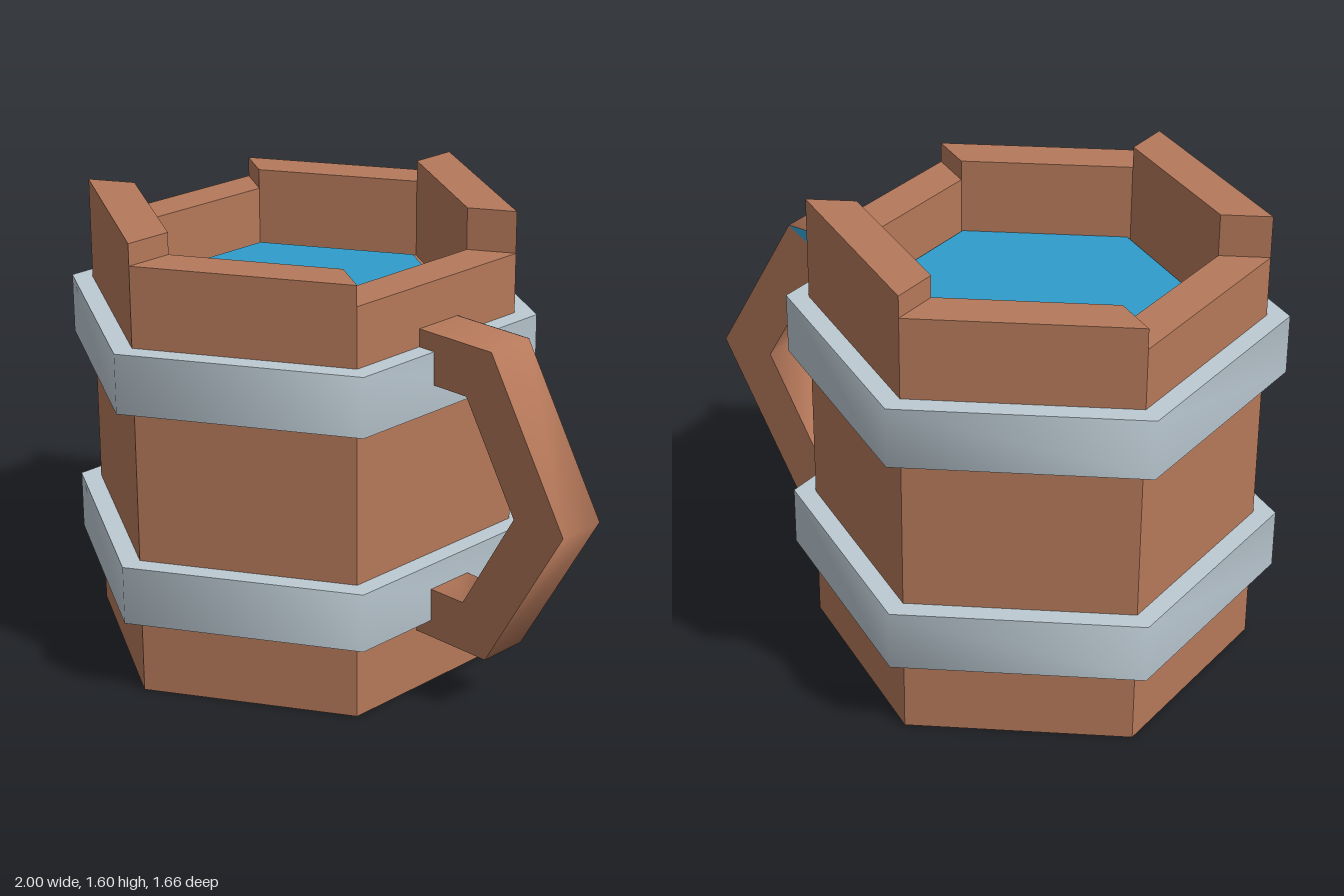
import * as THREE from 'three';
import { toCreasedNormals } from 'three/addons/utils/BufferGeometryUtils.js';

const CX = -0.28; // mug axis
const material = (color) => new THREE.MeshStandardMaterial({ color });
const wood = material(0xb5785a);
const steel = material(0xbccad3);
const water = material(0x2f9ccb);

// corner i of a hexagon in plan, as (x, -z) for upward extrusion
const corner = (r, i) => {
  const a = Math.PI / 6 + (i * Math.PI) / 3;
  return new THREE.Vector2(r * Math.cos(a), r * Math.sin(a));
};
const hexagon = (r) => [0, 1, 2, 3, 4, 5].map((i) => corner(r, i));

// extrude a plan outline upwards from y0 to y1, around the mug axis
function prism(name, shape, y0, y1, mat, crease = 0.1) {
  let geo = new THREE.ExtrudeGeometry(shape, { depth: y1 - y0, bevelEnabled: false });
  geo.rotateX(-Math.PI / 2);
  geo.translate(CX, y0, 0);
  geo = toCreasedNormals(geo, crease);
  const mesh = new THREE.Mesh(geo, mat);
  mesh.name = name;
  return mesh;
}

export function createModel() {
  const group = new THREE.Group();
  group.name = 'mug';
  const soft = THREE.MathUtils.degToRad(70); // smooth over 60 degree bends

  // six wall staves with stepped heights, from back right counter-clockwise
  const outer = 0.753, inner = 0.585;
  const heights = [1.6, 1.525, 1.455, 1.6, 1.525, 1.455];
  heights.forEach((h, i) => {
    const shape = new THREE.Shape([
      corner(outer, i), corner(outer, i + 1), corner(inner, i + 1), corner(inner, i),
    ]);
    group.add(prism('wallStave', shape, 0, h, wood));
  });

  // solid core with the drink on top
  group.add(prism('core', new THREE.Shape(hexagon(inner)), 0, 1.25, wood));
  const surface = prism('drink', new THREE.Shape(hexagon(0.568)), 1.25, 1.262, water);
  surface.position.set(0.011, 0, 0.013);
  group.add(surface);

  // two metal bands
  for (const y of [0.28, 1.038]) {
    const ring = new THREE.Shape(hexagon(0.829));
    ring.holes.push(new THREE.Path(hexagon(0.74)));
    group.add(prism('band', ring, y, y + 0.208, steel, soft));
  }

  // angular handle
  const points = [
    [0.37, 0.22], [0.683, 0.22], [1, 0.765], [0.683, 1.308], [0.37, 1.308],
    [0.37, 1.13], [0.58, 1.13], [0.793, 0.765], [0.58, 0.397], [0.37, 0.397],
  ].map(([x, y]) => new THREE.Vector2(x, y));
  const handleGeo = new THREE.ExtrudeGeometry(new THREE.Shape(points), { depth: 0.18, bevelEnabled: false });
  handleGeo.translate(0, 0, -0.09);
  const handle = new THREE.Mesh(toCreasedNormals(handleGeo, soft), wood);
  handle.name = 'handle';
  group.add(handle);

  // coloured corner on the back of the handle
  const patch = new THREE.Mesh(new THREE.ShapeGeometry(new THREE.Shape([points[3], points[4], points[5]])), water.clone());
  patch.material.side = THREE.DoubleSide;
  patch.position.z = -0.092;
  patch.name = 'handlePatch';
  group.add(patch);

  return group;
}
